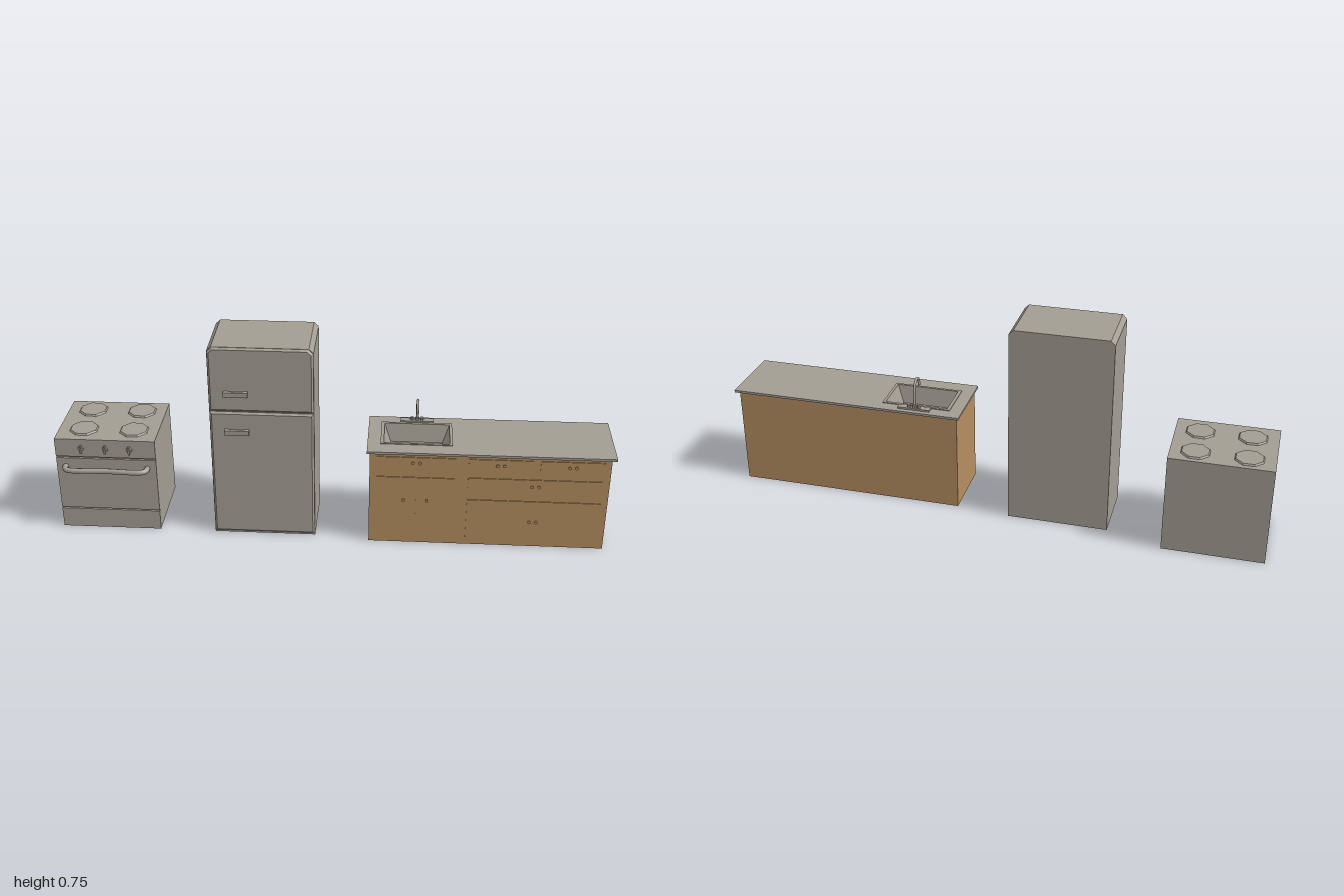
import * as THREE from 'three';

const grey = new THREE.MeshStandardMaterial({ color: 0xa39d93 });
grey.name = 'warm grey metal';
const wood = new THREE.MeshStandardMaterial({ color: 0xb58e60 });
wood.name = 'light brown wood';

function add(parent, name, geometry, material = grey) {
  const mesh = new THREE.Mesh(geometry, material);
  mesh.name = name;
  parent.add(mesh);
  return mesh;
}

// Box given by its limits on each axis
function box(parent, name, [x0, x1], [y0, y1], [z0, z1], material) {
  const g = new THREE.BoxGeometry(x1 - x0, y1 - y0, z1 - z0);
  g.translate((x0 + x1) / 2, (y0 + y1) / 2, (z0 + z1) / 2);
  return add(parent, name, g, material);
}

// Flat-sided cylinder; axis 'y' stands up, axis 'z' points to the front
function disc(parent, name, r0, r1, h, sides, axis, x, y, z, material) {
  let g = new THREE.CylinderGeometry(r1, r0, h, sides);
  g.rotateY(Math.PI / sides);
  if (axis === 'z') g.rotateX(Math.PI / 2);
  g = g.toNonIndexed();
  g.computeVertexNormals();
  add(parent, name, g, material).position.set(x, y, z);
}

const polygon = pts => pts.map(([x, y]) => new THREE.Vector2(x, y));
const rect = ([x0, x1], [z0, z1]) => polygon([[x0, -z1], [x1, -z1], [x1, -z0], [x0, -z0]]);

// Horizontal slab with a rectangular opening
function slabWithHole(parent, name, xs, zs, [y0, y1], holeX, holeZ, material) {
  const shape = new THREE.Shape(rect(xs, zs));
  shape.holes.push(new THREE.Path(rect(holeX, holeZ).reverse()));
  const g = new THREE.ExtrudeGeometry(shape, { depth: y1 - y0, bevelEnabled: false });
  g.rotateX(-Math.PI / 2).translate(0, y0, 0);
  add(parent, name, g, material);
}

const tube = (pts, r, n) => new THREE.TubeGeometry(
  new THREE.CatmullRomCurve3(pts.map(p => new THREE.Vector3(...p)), false, 'centripetal'), n, r, 8);

function makeStove() {
  const stove = new THREE.Group();
  stove.name = 'stove';
  const xs = [-1, -0.635], cx = -0.8175;
  box(stove, 'stoveBody', xs, [0, 0.37], [-0.168, 0.12]);
  // Drawer, oven door and control panel separated by grooves
  for (const [name, y0, y1] of [['stoveDrawer', 0, 0.077], ['ovenDoor', 0.082, 0.292], ['controlPanel', 0.299, 0.37]])
    box(stove, name, xs, [y0, y1], [0.119, 0.128]);
  // Octagonal hot plates
  for (const x of [-0.908, -0.724])
    for (const z of [-0.1, 0.047])
      disc(stove, 'hotPlate', 0.055, 0.05, 0.007, 8, 'y', x, 0.3725, z);
  // Control knobs with grips
  for (const dx of [-0.088, 0, 0.088]) {
    disc(stove, 'controlKnob', 0.012, 0.01, 0.008, 8, 'z', cx + dx, 0.333, 0.13);
    box(stove, 'knobGrip', [cx + dx - 0.003, cx + dx + 0.003], [0.317, 0.348], [0.128, 0.139]);
  }
  // Oven door handle curving back to the door at its ends
  const w = 0.149;
  add(stove, 'ovenHandle', tube([
    [cx - w, 0.259, 0.124], [cx - w, 0.259, 0.145], [cx - w + 0.012, 0.259, 0.158],
    [cx, 0.259, 0.158],
    [cx + w - 0.012, 0.259, 0.158], [cx + w, 0.259, 0.145], [cx + w, 0.259, 0.124]], 0.01, 40));
  return stove;
}

function makeFridge() {
  const fridge = new THREE.Group();
  fridge.name = 'fridge';
  const x0 = -0.43, x1 = -0.06, top = 0.752, c = 0.016;
  // Body with chamfered upper corners
  const outline = new THREE.Shape(polygon([
    [x0, 0], [x1, 0], [x1, top - c], [x1 - c, top], [x0 + c, top], [x0, top - c]]));
  const body = new THREE.ExtrudeGeometry(outline, { depth: 0.232, bevelEnabled: false });
  add(fridge, 'fridgeBody', body.translate(0, 0, -0.102));

  // Doors with bevelled edges, forming a V groove between them
  const b = 0.008;
  const door = (name, y0, y1, cut) => {
    const l = x0 + b, r = x1 - b, u = y1 - b;
    const pts = [[l, y0 + b], [r, y0 + b], [r, u - cut], [r - cut, u], [l + cut, u], [l, u - cut]];
    const shape = new THREE.Shape(polygon(cut ? pts : [pts[0], pts[1], [r, u], [l, u]]));
    const g = new THREE.ExtrudeGeometry(shape, {
      depth: 0.001, bevelSize: b, bevelThickness: b, bevelSegments: 1 });
    add(fridge, name, g.translate(0, 0, 0.128));
  };
  door('fridgeDoor', 0.006, 0.504, 0);
  door('freezerDoor', 0.506, top, 0.013);
  for (const y of [0.43, 0.58]) {
    box(fridge, 'fridgeHandle', [-0.376, -0.29], [y - 0.009, y + 0.009], [0.144, 0.155]);
    for (const x of [-0.368, -0.298])
      box(fridge, 'handleMount', [x - 0.007, x + 0.007], [y - 0.008, y + 0.008], [0.135, 0.146]);
  }
  return fridge;
}

function makeSinkCabinet() {
  const unit = new THREE.Group();
  unit.name = 'sinkCabinet';
  const xs = [0.137, 0.985], zs = [-0.085, 0.155];
  const holeX = [0.185, 0.42], holeZ = [-0.042, 0.1];
  const floor = 0.315, top = 0.381;

  // Carcass, hollow at the top to take the basin, and worktop
  box(unit, 'cabinetBase', xs, [0, floor - 0.005], zs, wood);
  slabWithHole(unit, 'cabinetUpper', xs, zs, [floor - 0.005, 0.373], holeX, holeZ, wood);
  slabWithHole(unit, 'worktop', [0.127, 1], [-0.098, 0.169], [0.372, top], holeX, holeZ);
  slabWithHole(unit, 'sinkRim', [0.173, 0.43], [-0.052, 0.109], [top - 0.001, top + 0.003], holeX, holeZ);

  // Tapered basin: a four-sided cylinder turned inside out
  const r = Math.SQRT1_2, h = top - floor;
  let basin = new THREE.CylinderGeometry(r, r * 0.8, h, 4, 1, true).rotateY(Math.PI / 4);
  basin = basin.scale(-(holeX[1] - holeX[0]), 1, holeZ[1] - holeZ[0]).toNonIndexed();
  basin.computeVertexNormals();
  add(unit, 'sinkBasin', basin).position.set(0.3025, floor + h / 2, 0.029);
  box(unit, 'basinFloor', [0.2, 0.405], [floor - 0.004, floor + 0.001], [-0.03, 0.088]);

  // Doors and drawers, each with its knobs
  const knobs = (positions, y) => positions.forEach(x => {
    disc(unit, 'knobStem', 0.003, 0.003, 0.008, 8, 'z', x, y, 0.159, wood);
    disc(unit, 'knob', 0.006, 0.006, 0.004, 8, 'z', x, y, 0.163, wood);
  });
  const front = (name, px, py) => box(unit, name, px, py, [0.154, 0.158], wood);
  front('leftDoor', [0.163, 0.2995], [0.03, 0.275]);
  front('rightDoor', [0.3035, 0.44], [0.03, 0.275]);
  knobs([0.26, 0.344], 0.182);
  for (const [a, b] of [[0.163, 0.443], [0.488, 0.712], [0.739, 0.963]]) {
    front('topDrawer', [a, b], [0.313, 0.357]);
    const m = (a + b) / 2;
    knobs([m - 0.012, m + 0.012], 0.336);
  }
  for (const [y0, y1, k] of [[0.22, 0.28, 0.254], [0.03, 0.19, 0.106]]) {
    front('wideDrawer', [0.488, 0.963], [y0, y1]);
    knobs([0.714, 0.738], k);
  }

  // Tap with gooseneck spout and two valves
  const tx = 0.302, tz = -0.068;
  box(unit, 'tapPlate', [tx - 0.06, tx + 0.06], [top - 0.001, 0.388], [tz - 0.012, tz + 0.012]);
  disc(unit, 'tapCollar', 0.009, 0.007, 0.014, 8, 'y', tx, 0.392, tz);
  add(unit, 'tapSpout', tube([
    [tx, 0.385, tz], [tx, 0.425, -0.065], [tx, 0.455, -0.061], [tx, 0.476, -0.05],
    [tx, 0.485, -0.033], [tx, 0.478, -0.013], [tx, 0.464, -0.005], [tx, 0.45, -0.004]], 0.005, 32));
  disc(unit, 'spoutTip', 0.005, 0.005, 0.002, 8, 'y', tx, 0.45, -0.004);
  for (const s of [-1, 1])
    disc(unit, 'tapValve', 0.008, 0.006, 0.01, 8, 'y', tx + s * 0.018, 0.392, tz - 0.003);
  return unit;
}

export function createModel() {
  const model = new THREE.Group();
  model.name = 'kitchenSet';
  model.add(makeStove(), makeFridge(), makeSinkCabinet());
  return model;
}
